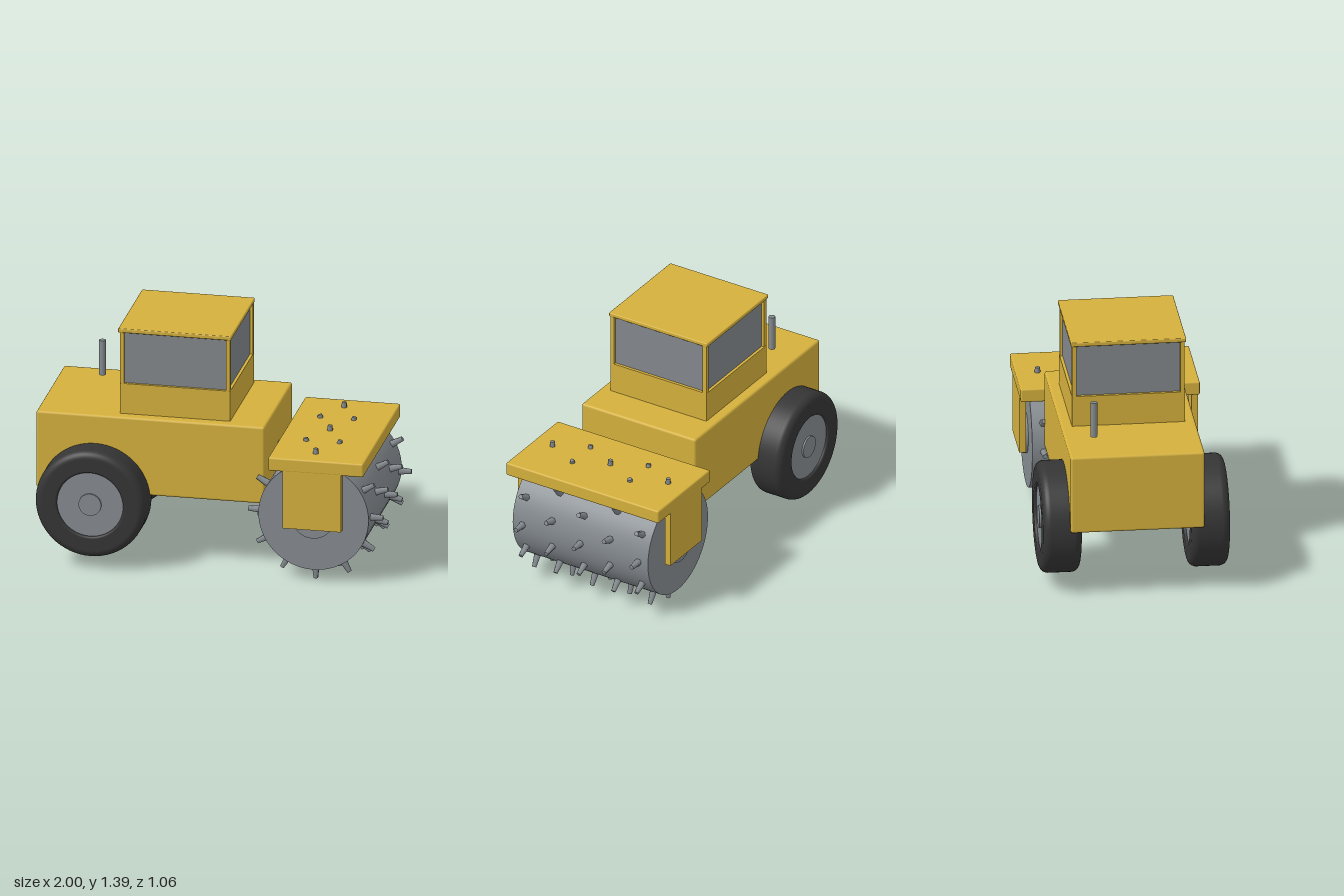
import * as THREE from 'three';
import { RoundedBoxGeometry } from 'three/addons/geometries/RoundedBoxGeometry.js';

export function createModel() {
  const mat = (name, color) => {
    const m = new THREE.MeshStandardMaterial({ color });
    m.name = name;
    return m;
  };
  const yellow = mat('yellow paint', 0xd4b03c);
  const steel = mat('steel', 0x858b90);
  const rubber = mat('rubber', 0x353535);
  const glass = mat('window grey', 0x83878b);

  const model = new THREE.Group();
  model.name = 'padfootRoller';

  const add = (name, geo, material, x = 0, y = 0, z = 0, parent = model) => {
    const mesh = new THREE.Mesh(geo, material);
    mesh.name = name;
    mesh.position.set(x, y, z);
    parent.add(mesh);
    return mesh;
  };
  // Box given by its extents; r rounds the edges slightly
  const box = (name, material, [x0, x1], [y0, y1], [z0, z1], r = 0) => {
    const s = [x1 - x0, y1 - y0, z1 - z0];
    const geo = r ? new RoundedBoxGeometry(...s, 2, r) : new THREE.BoxGeometry(...s);
    return add(name, geo, material, (x0 + x1) / 2, (y0 + y1) / 2, (z0 + z1) / 2);
  };
  // Cylinder lying along z
  const disc = (r, width, segments = 48) =>
    new THREE.CylinderGeometry(r, r, width, segments).rotateX(Math.PI / 2);

  // Engine body
  box('body', yellow, [-1, 0.315], [0.415, 0.875], [-0.38, 0.38], 0.014);

  // Cab: base, windows, corner posts, roof
  box('cabBase', yellow, [-0.53, 0.105], [0.87, 1.055], [-0.32, 0.32]);
  box('cabWindows', glass, [-0.513, 0.088], [1.055, 1.36], [-0.303, 0.303]);
  for (const x of [-0.518, 0.093])
    for (const z of [-0.307, 0.307])
      box('cabPost', yellow, [x - 0.012, x + 0.012], [1.05, 1.365], [z - 0.012, z + 0.012]);
  box('cabRoof', yellow, [-0.54, 0.11], [1.36, 1.385], [-0.327, 0.327], 0.006);

  // Exhaust stack
  add('exhaust', new THREE.CylinderGeometry(0.019, 0.019, 0.207, 20), steel, -0.745, 1.0, -0.22);

  // Rear wheels: rounded tyre ring with a rim and hub set into it
  const tyreShape = new THREE.Path();
  const ri = 0.19, ro = 0.318, h = 0.11, c = 0.045, b = 0.015;
  tyreShape.moveTo(ri, -h + b);
  tyreShape.quadraticCurveTo(ri, -h, ri + b, -h);
  tyreShape.lineTo(ro - c, -h);
  tyreShape.absarc(ro - c, -h + c, c, -Math.PI / 2, 0, false);
  tyreShape.lineTo(ro, h - c);
  tyreShape.absarc(ro - c, h - c, c, 0, Math.PI / 2, false);
  tyreShape.lineTo(ri + b, h);
  tyreShape.quadraticCurveTo(ri, h, ri, h - b);
  tyreShape.lineTo(ri, -h + b);
  const tyreGeo = new THREE.LatheGeometry(tyreShape.getPoints(6), 64).rotateX(Math.PI / 2);
  for (const side of [-1, 1]) {
    const wheel = new THREE.Group();
    wheel.name = side > 0 ? 'leftWheel' : 'rightWheel';
    wheel.position.set(-0.66, 0.388, side * 0.42);
    model.add(wheel);
    add('tyre', tyreGeo, rubber, 0, 0, 0, wheel);
    add('rim', disc(0.193, 0.19), steel, 0, 0, 0, wheel);
    add('hub', disc(0.065, 0.21, 32), steel, 0, 0, 0, wheel);
  }

  // Joint between the body and the drum frame
  add('joint', new THREE.CylinderGeometry(0.085, 0.085, 0.2, 32).rotateZ(Math.PI / 2),
    steel, 0.36, 0.575, 0);

  // Drum with staggered rings of tapered pads
  const drum = new THREE.Group();
  drum.name = 'drum';
  drum.position.set(0.612, 0.387, 0);
  model.add(drum);
  add('drumShell', disc(0.317, 0.9, 64), steel, 0, 0, 0, drum);
  add('drumHub', disc(0.122, 0.945), steel, 0, 0, 0, drum);
  const padGeo = new THREE.CylinderGeometry(0.014, 0.023, 0.087, 6).translate(0, 0.3445, 0);
  const padMesh = (z, angle) => {
    add('drumPad', padGeo, steel, 0, 0, z, drum).rotation.z = angle;
  };
  [-0.385, -0.1925, 0, 0.1925, 0.385].forEach((z, row) => {
    for (let i = 0; i < 12; i++) padMesh(z, (i + (row % 2) / 2) * Math.PI / 6);
  });

  // Drum frame: top cover and side plates
  box('drumCover', yellow, [0.362, 0.91], [0.665, 0.745], [-0.508, 0.508], 0.01);
  for (const side of [-1, 1])
    box('drumSidePlate', yellow, [0.446, 0.782], [0.327, 0.68],
      side > 0 ? [0.47, 0.507] : [-0.507, -0.47]);

  return model;
}
